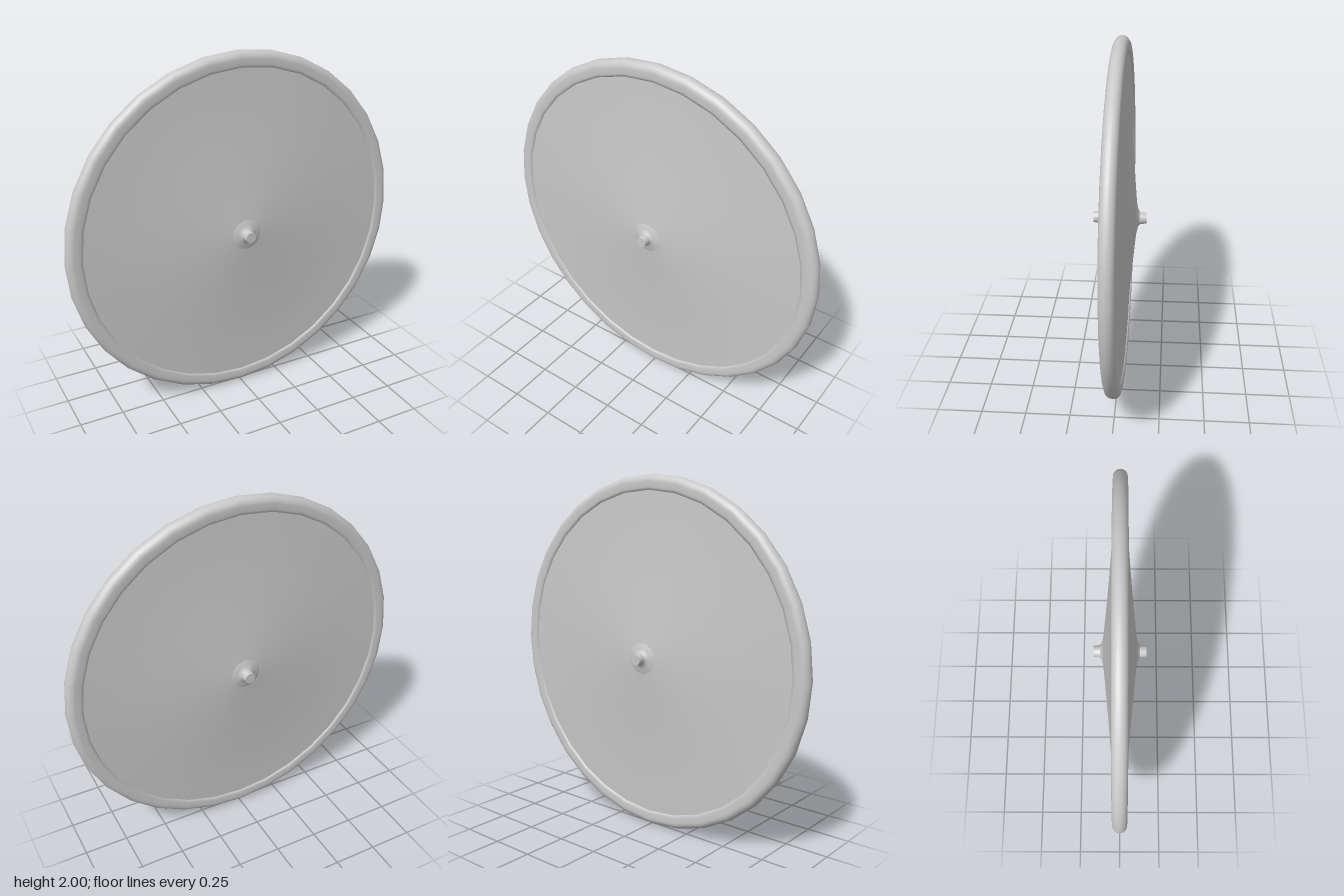
import * as THREE from 'three';

const SIDES = 32;

// Turned part: profile of [radius, depth] pairs spun about the axle (z)
function turned(name, profile, material) {
  const points = profile.map(([r, d]) => new THREE.Vector2(r, d));
  const geometry = new THREE.LatheGeometry(points, SIDES);
  geometry.rotateX(Math.PI / 2);
  const mesh = new THREE.Mesh(geometry, material);
  mesh.name = name;
  return mesh;
}

export function createModel() {
  const grey = new THREE.MeshStandardMaterial({ color: 0xc8c8c8, side: THREE.DoubleSide });
  grey.name = 'light grey';

  const wheel = new THREE.Group();
  wheel.name = 'discWheel';

  // Tyre: flat-sided band with a rounded tread
  const tyreProfile = [[0.915, -0.026], [0.915, -0.036], [0.93, -0.04]];
  for (let i = 0; i <= 12; i++) {
    const a = -Math.PI / 2 + (Math.PI * i) / 12;
    tyreProfile.push([0.96 + 0.04 * Math.cos(a), 0.04 * Math.sin(a)]);
  }
  tyreProfile.push([0.93, 0.04], [0.915, 0.036], [0.915, 0.026]);
  wheel.add(turned('tyre', tyreProfile, grey));

  // One side of the wheel, turned round to make the other
  for (const turn of [0, Math.PI]) {
    const side = new THREE.Group();
    side.name = turn ? 'backSide' : 'frontSide';

    // Gently dished cover
    side.add(turned('disc', [
      [0.92, 0.03], [0.75, 0.037], [0.6, 0.046], [0.4, 0.062], [0.2, 0.081], [0.085, 0.093],
    ], grey));

    // Hub cone flaring into the axle
    side.add(turned('hub', [
      [0.09, 0.088], [0.085, 0.094], [0.06, 0.099], [0.045, 0.104], [0.036, 0.112],
    ], grey));

    // Axle stub and its flat end
    side.add(turned('axle', [[0.036, 0.108], [0.03, 0.148]], grey));
    side.add(turned('axleEnd', [[0.03, 0.148], [0, 0.148]], grey));

    side.rotation.y = turn;
    wheel.add(side);
  }

  wheel.position.y = 1;
  const model = new THREE.Group();
  model.add(wheel);
  return model;
}
